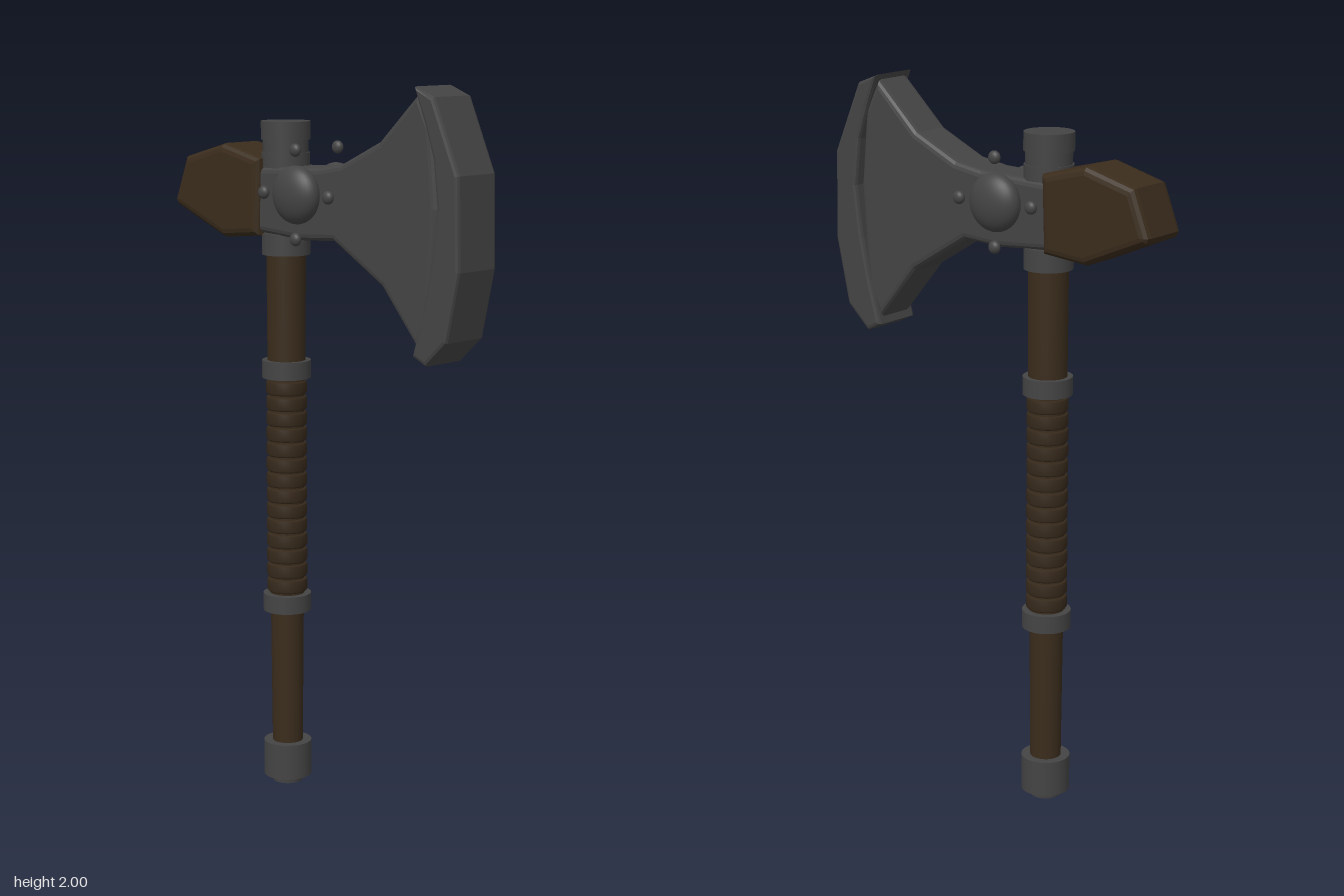
import * as THREE from 'three';

export function createModel() {
  const axe = new THREE.Group();
  axe.name = 'battleAxe';
  const mat = (name, color) => {
    const m = new THREE.MeshStandardMaterial({ color });
    m.name = name;
    return m;
  };
  const metal = mat('darkIron', 0x444445);
  const wood = mat('darkWood', 0x3a2c1c);
  const wrap = mat('leatherWrap', 0x36291b);

  const shaftX = -0.16;
  const add = (name, geometry, material, x = 0, y = 0, z = 0) => {
    const mesh = new THREE.Mesh(geometry, material);
    mesh.name = name;
    mesh.position.set(x, y, z);
    axe.add(mesh);
    return mesh;
  };
  const cylinder = (name, y0, y1, r0, r1, material) =>
    add(name, new THREE.CylinderGeometry(r1, r0, y1 - y0, 32), material, shaftX, (y0 + y1) / 2);

  // Flat outline extruded about z = 0, with its bevel kept inside the outline
  const slab = (name, points, halfDepth, bevel, material, bevelSegments = 2) => {
    const shape = new THREE.Shape(points.map(([x, y]) => new THREE.Vector2(x, y)));
    const depth = 2 * (halfDepth - bevel);
    const geometry = new THREE.ExtrudeGeometry(shape, {
      depth, bevelEnabled: true, bevelThickness: bevel, bevelSize: bevel,
      bevelOffset: -bevel, bevelSegments,
    });
    geometry.translate(0, 0, -depth / 2);
    return add(name, geometry, material);
  };

  // Tapered shaft
  cylinder('lowerShaft', 0.1, 0.54, 0.043, 0.047, wood);
  cylinder('gripCore', 0.54, 1.2, 0.048, 0.051, wood);
  cylinder('upperShaft', 1.2, 1.8, 0.053, 0.056, wood);

  // Wrapped grip
  const ring = [[0.044, -0.019], [0.053, -0.019], [0.057, -0.014],
    [0.057, 0.014], [0.053, 0.019], [0.044, 0.019]].map(([r, y]) => new THREE.Vector2(r, y));
  const ringGeometry = new THREE.LatheGeometry(ring, 32);
  for (let i = 0; i < 14; i++) add('gripWrap', ringGeometry, wrap, shaftX, 0.585 + i * 0.0437);

  // Pommel, collars and top cap
  cylinder('pommelFoot', 0, 0.03, 0.042, 0.045, metal);
  cylinder('pommel', 0.02, 0.122, 0.068, 0.068, metal);
  cylinder('lowerCollar', 0.51, 0.56, 0.068, 0.068, metal);
  cylinder('upperCollar', 1.18, 1.23, 0.068, 0.068, metal);
  cylinder('neckCollar', 1.525, 1.585, 0.067, 0.067, metal);
  cylinder('capBase', 1.765, 1.805, 0.067, 0.067, metal);
  cylinder('capNeck', 1.8, 1.845, 0.063, 0.063, metal);
  cylinder('cap', 1.84, 1.89, 0.068, 0.068, metal);

  // Blade body
  slab('blade', [
    [-0.25, 1.59], [-0.04, 1.575], [0.075, 1.582], [0.25, 1.475], [0.375, 1.325],
    [0.42, 1.4], [0.44, 1.69], [0.42, 1.9], [0.375, 1.985],
    [0.24, 1.855], [0.105, 1.79], [0.02, 1.775], [-0.25, 1.765],
  ], 0.066, 0.018, metal, 3);

  // Thicker cutting edge
  slab('cuttingEdge', [
    [0.37, 2.0], [0.405, 1.91], [0.435, 1.82], [0.45, 1.69], [0.43, 1.545], [0.405, 1.43],
    [0.37, 1.305], [0.415, 1.283], [0.485, 1.35], [0.525, 1.535], [0.52, 1.78], [0.435, 1.975],
  ], 0.077, 0.01, metal);

  // Wooden poll behind the shaft
  slab('poll', [
    [-0.527, 1.66], [-0.52, 1.645], [-0.33, 1.565], [-0.195, 1.578], [-0.188, 1.79],
    [-0.33, 1.825], [-0.48, 1.783],
  ], 0.081, 0.022, wood, 3);

  // Domed boss with four rivets on each face
  const bossX = -0.043, bossY = 1.7;
  const ball = new THREE.SphereGeometry(1, 32, 20);
  for (const side of [-1, 1]) {
    add('boss', ball, metal, bossX, bossY, side * 0.08).scale.set(0.079, 0.079, 0.043);
    for (let i = 0; i < 4; i++) {
      const a = (i * Math.PI) / 2;
      add('rivet', ball, metal, bossX + 0.12 * Math.cos(a), bossY + 0.12 * Math.sin(a), side * 0.083)
        .scale.set(0.018, 0.018, 0.013);
    }
  }
  return axe;
}
